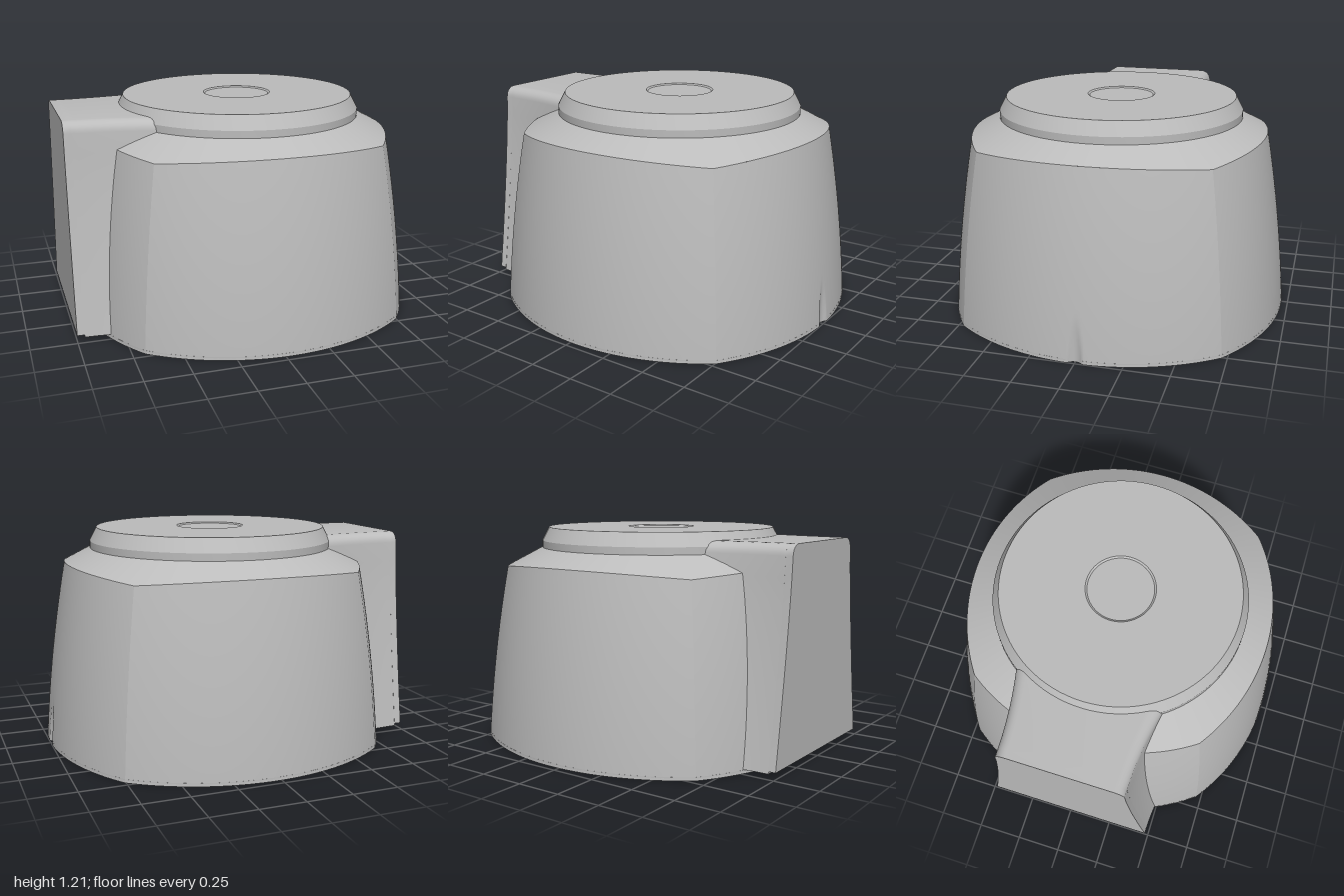
import * as THREE from 'three';
import { toCreasedNormals } from 'three/addons/utils/BufferGeometryUtils.js';

const AXIS_X = 0.035; // body axis, offset from the origin by the side mount

// Surface from a rule fn(u, v) -> [x, y, z], facing along dv x du
function grid(nu, nv, fn) {
  const pos = [], idx = [];
  for (let j = 0; j <= nv; j++)
    for (let i = 0; i <= nu; i++) pos.push(...fn(i / nu, j / nv));
  for (let j = 0; j < nv; j++)
    for (let i = 0; i < nu; i++) {
      const a = j * (nu + 1) + i, b = a + 1, c = a + nu + 1, d = c + 1;
      idx.push(a, c, b, b, c, d);
    }
  const g = new THREE.BufferGeometry();
  g.setAttribute('position', new THREE.Float32BufferAttribute(pos, 3));
  g.setIndex(idx);
  g.computeVertexNormals();
  return g;
}

// Point on one bowed side of the body (facing +x), t from -1 to 1 between corners
function sidePoint(t, y, notched) {
  const s = 0.965 - 0.07 * y - 0.06 * y * y;
  const c = 0.72 - 0.05 * y - 0.044 * y * y;
  const sag = s - c, R = (c * c + sag * sag) / (2 * sag);
  const phi = t * Math.asin(c / R);
  let x = s - R + R * Math.cos(phi);
  const z = R * Math.sin(phi);
  if (notched && Math.abs(z) < 0.055) x = Math.min(x, 1.0 - Math.sqrt(0.055 ** 2 - z * z));
  return [x, y, z];
}

// Height where the wall meets the sloping shoulder
function wallTop(t) {
  let y = 1;
  for (let i = 0; i < 8; i++) {
    const [x, , z] = sidePoint(t, y);
    y = 1.09 - 0.53 * (Math.hypot(x, z) - 0.69);
  }
  return y;
}

// Side mount cross-section as [z, y] points, from lower -z over the top to lower +z
function mountProfile(bottom) {
  const half = [];
  for (let i = 0; i <= 10; i++) {
    const t = i / 10;
    half.push([0.345 + 0.135 * Math.pow(1 - t, 1.25), bottom + (1.1 - bottom) * t]);
  }
  for (let i = 1; i <= 6; i++) {
    const a = (i / 6) * Math.PI / 2;
    half.push([0.285 + 0.06 * Math.cos(a), 1.1 + 0.06 * Math.sin(a)]);
  }
  return [...half.map(([z, y]) => [-z, y]), ...half.reverse()];
}

// Underside recess outline: a circle with rounded corner tabs and two small bumps
function recessOutline() {
  const R = 0.905, w = 0.145, tabR = 0.835, pts = [];
  const halfAngle = Math.asin(w / R);
  for (let k = 0; k < 4; k++) {
    const a0 = Math.PI / 4 + k * Math.PI / 2;
    for (let i = 0; i <= 16; i++) {
      const b = (i / 16) * Math.PI;
      const p = tabR - w * Math.sin(b), q = -w * Math.cos(b);
      pts.push(new THREE.Vector2(
        p * Math.cos(a0) - q * Math.sin(a0), p * Math.sin(a0) + q * Math.cos(a0)));
    }
    for (let i = 0; i <= 60; i++) {
      const a = a0 + halfAngle + (i / 60) * (Math.PI / 2 - 2 * halfAngle);
      const d = (a - a0 - Math.PI / 4) * R;
      const bump = k % 2 === 0 && Math.abs(d) < 0.045 ? Math.sqrt(0.045 ** 2 - d * d) : 0;
      pts.push(new THREE.Vector2((R - bump) * Math.cos(a), (R - bump) * Math.sin(a)));
    }
  }
  return pts;
}

export function createModel() {
  const model = new THREE.Group();
  const grey = new THREE.MeshStandardMaterial({ color: 0xbcbcbc });
  grey.name = 'plain grey';
  const add = (parent, name, geometry) => {
    const m = new THREE.Mesh(geometry, grey);
    m.name = name;
    parent.add(m);
    return m;
  };

  const body = new THREE.Group();
  body.name = 'body';
  body.position.x = AXIS_X;
  model.add(body);

  // Four bowed walls and their shoulder; the +x wall has a small cable notch
  for (let k = 0; k < 4; k++) {
    const wall = grid(k === 0 ? 160 : 48, 24, (u, v) => {
      const t = 2 * u - 1;
      return sidePoint(t, v * wallTop(t), k === 0);
    });
    const shoulder = grid(48, 1, (u, v) => {
      const t = 2 * u - 1, y = wallTop(t);
      const [x, , z] = sidePoint(t, y);
      const s = 0.69 / Math.hypot(x, z);
      return v === 0 ? [x, y, z] : [x * s, 1.09, z * s];
    });
    add(body, 'wall', wall).rotation.y = k * Math.PI / 2;
    add(body, 'shoulder', shoulder).rotation.y = k * Math.PI / 2;
  }

  // Round collar with a chamfer and a shallow central dimple
  const collar = [[0.69, 1.085], [0.69, 1.13], [0.65, 1.205], [0.19, 1.205], [0.18, 1.198], [0, 1.198]];
  add(body, 'collar', toCreasedNormals(
    new THREE.LatheGeometry(collar.map(p => new THREE.Vector2(...p)), 96), 0.3));

  // Base rim with corner tabs and screw holes
  const outline = [];
  for (let k = 0; k < 4; k++)
    for (let i = 0; i < 160; i++) {
      const [x, , z] = sidePoint(i / 80 - 1, 0, k === 0);
      const a = k * Math.PI / 2;
      outline.push(new THREE.Vector2(x * Math.cos(a) - z * Math.sin(a), x * Math.sin(a) + z * Math.cos(a))
        .multiplyScalar(0.999));
    }
  const rim = new THREE.Shape(outline);
  rim.holes.push(new THREE.Path(recessOutline()));
  for (let k = 0; k < 4; k++) {
    const a = Math.PI / 4 + k * Math.PI / 2;
    for (const [r, size] of [[0.8, 0.028], [0.93, 0.02]])
      rim.holes.push(new THREE.Path().absarc(r * Math.cos(a), r * Math.sin(a), size, 0, Math.PI * 2, true));
  }
  const depth = 0.019;
  add(body, 'base rim', new THREE.ExtrudeGeometry(rim, { depth, bevelEnabled: false, curveSegments: 8 })
    .rotateX(Math.PI / 2).translate(0, depth, 0));
  add(body, 'base floor', new THREE.CircleGeometry(0.945, 96).rotateX(Math.PI / 2).translate(0, depth, 0));

  // Side mount: tapered section flaring into the body, closed at its outer end
  const profile = mountProfile(0.022);
  profile.push(profile[0]);
  const n = profile.length - 1, rows = 14;
  const mount = grid(n, rows + 1, (u, v) => {
    const [z, y] = profile[Math.round(u * n)];
    const j = Math.round(v * (rows + 1));
    if (j > rows) return [-0.96, 0.6, 0];
    const x = -0.5 - 0.46 * (j / rows);
    return [x, y, z * (1 + 0.15 * ((x + 1) / 0.46) ** 2)];
  });
  add(model, 'side mount', toCreasedNormals(mount, 0.5));

  // Flat mounting plate at the outer end
  const plate = new THREE.Shape(mountProfile(0.035).map(([z, y]) => new THREE.Vector2(z, y)));
  add(model, 'mounting plate', toCreasedNormals(
    new THREE.ExtrudeGeometry(plate, { depth: 0.04, bevelEnabled: false })
      .rotateY(-Math.PI / 2).translate(-0.96, 0, 0), 0.5));

  return model;
}
